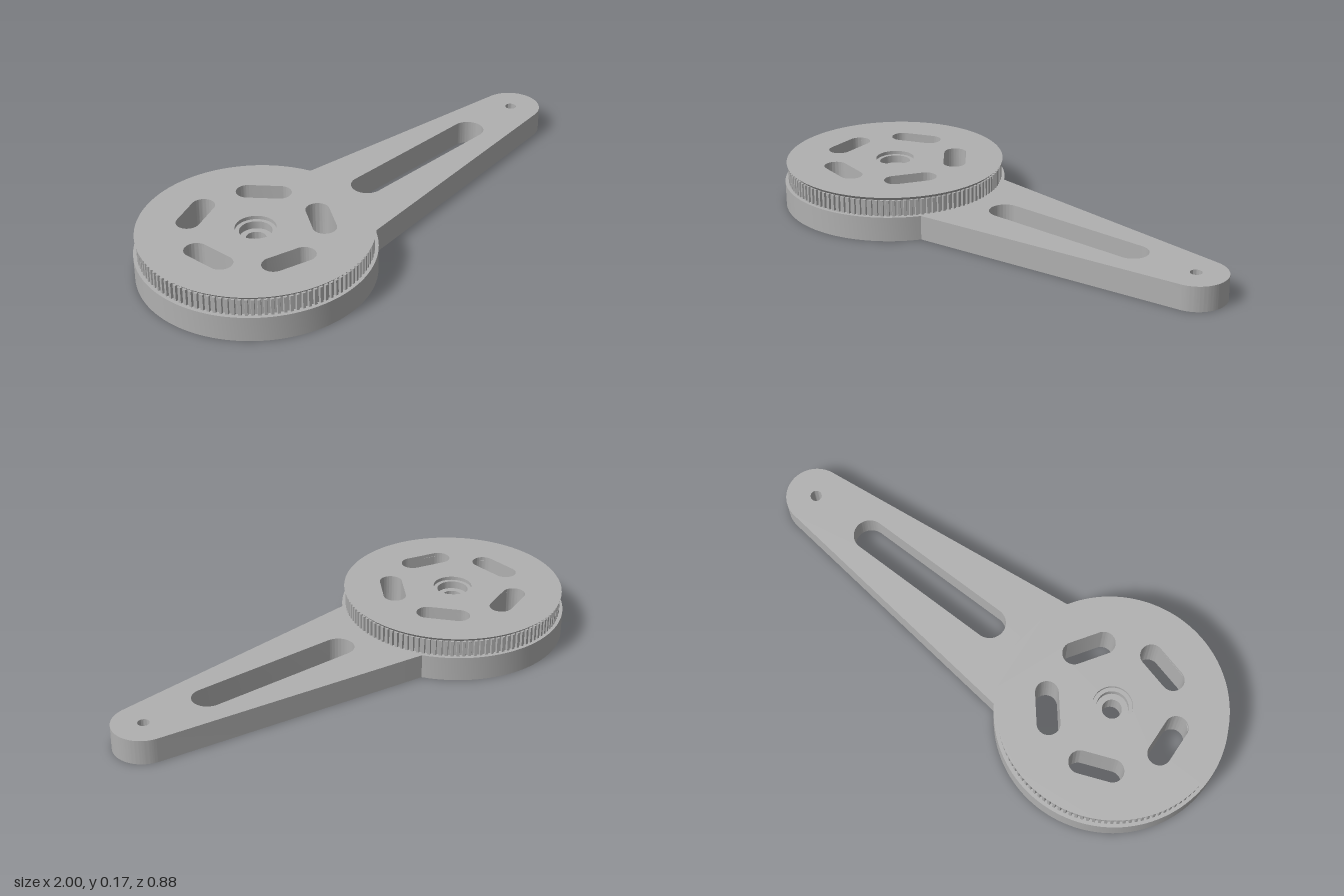
import * as THREE from 'three';
import { toCreasedNormals } from 'three/addons/utils/BufferGeometryUtils.js';

const CX = -0.56;          // pulley axis
const BASE_TOP = 0.097, TEETH_TOP = 0.16, TOP = 0.174;
const HUB_R = 0.075;

function circle(x, y, r) {
  return new THREE.Path().absarc(x, y, r, 0, Math.PI * 2, true);
}

// Round-ended slot centred on (x, y), its long axis turned by angle
function slot(x, y, length, width, angle) {
  const r = width / 2, h = length / 2 - r;
  const c = Math.cos(angle) * h, s = Math.sin(angle) * h;
  const path = new THREE.Path();
  path.absarc(x + c, y + s, r, angle + Math.PI / 2, angle - Math.PI / 2, true);
  path.absarc(x - c, y - s, r, angle - Math.PI / 2, angle - Math.PI * 1.5, true);
  path.closePath();
  return path;
}

// Hub opening and the five slots shared by every disc layer
function discHoles() {
  const holes = [circle(CX, 0, HUB_R)];
  for (let i = 0; i < 5; i++) {
    const a = THREE.MathUtils.degToRad(-176 + i * 72);
    holes.push(slot(CX + 0.24 * Math.cos(a), 0.24 * Math.sin(a), 0.208, 0.088, a + Math.PI / 2));
  }
  return holes;
}

// Upright slab between two heights
function slab(shape, y0, y1, segments = 32) {
  const g = new THREE.ExtrudeGeometry(shape, { depth: y1 - y0, bevelEnabled: false, curveSegments: segments });
  return g.rotateX(-Math.PI / 2).translate(0, y0, 0);
}

export function createModel() {
  const group = new THREE.Group();
  const grey = new THREE.MeshStandardMaterial({ color: 0xb0b0b0 });
  grey.name = 'light grey';
  const add = (name, geometry) => {
    const mesh = new THREE.Mesh(toCreasedNormals(geometry, 0.45), grey);
    mesh.name = name;
    group.add(mesh);
  };

  // Base disc and tapered arm in one plate
  const R = 0.44, a = Math.atan2(0.245, 0.365);
  const tipX = 0.882, tipR = 0.118, tipA = Math.PI / 2 - 0.117;
  const base = new THREE.Shape();
  base.absarc(CX, 0, R, a, Math.PI * 2 - a, false);
  base.absarc(tipX, 0, tipR, -tipA, tipA, false);
  base.closePath();
  base.holes = [
    ...discHoles(),
    slot(0.313, 0, 0.717, 0.124, 0),
    circle(tipX, 0, 0.022),
  ];
  add('baseArm', slab(base, 0, BASE_TOP, 48));

  // Toothed belt ring
  const teeth = 120, outer = 0.427, root = 0.418;
  const points = [];
  for (let i = 0; i < teeth; i++) {
    for (const [f, r] of [[0, outer], [0.45, outer], [0.55, root], [0.9, root]]) {
      const t = (i + f) / teeth * Math.PI * 2;
      points.push(new THREE.Vector2(CX + r * Math.cos(t), r * Math.sin(t)));
    }
  }
  const ring = new THREE.Shape(points);
  ring.holes = discHoles();
  add('toothedRing', slab(ring, BASE_TOP, TEETH_TOP));

  // Flange, flaring outward toward its top
  const disc = new THREE.Shape().absarc(CX, 0, 0.432, 0, Math.PI * 2, false);
  disc.holes = discHoles();
  const flange = slab(disc, TEETH_TOP, TOP, 64);
  const p = flange.attributes.position;
  for (let i = 0; i < p.count; i++) {
    const dx = p.getX(i) - CX, dz = p.getZ(i);
    if (Math.hypot(dx, dz) > 0.4 && p.getY(i) < TEETH_TOP + 0.005) {
      p.setX(i, CX + dx * 0.968);
      p.setZ(i, dz * 0.968);
    }
  }
  add('flange', flange);

  // Hub with stepped recess above, recess below and a through bore
  const profile = [
    [HUB_R, 0], [HUB_R, 0.16], [0.06, 0.16], [0.06, 0.13], [0.037, 0.13],
    [0.037, 0.04], [0.062, 0.04], [0.062, 0], [HUB_R, 0],
  ].map(([x, y]) => new THREE.Vector2(x, y));
  add('hub', new THREE.LatheGeometry(profile, 48).translate(CX, 0, 0));

  return group;
}
